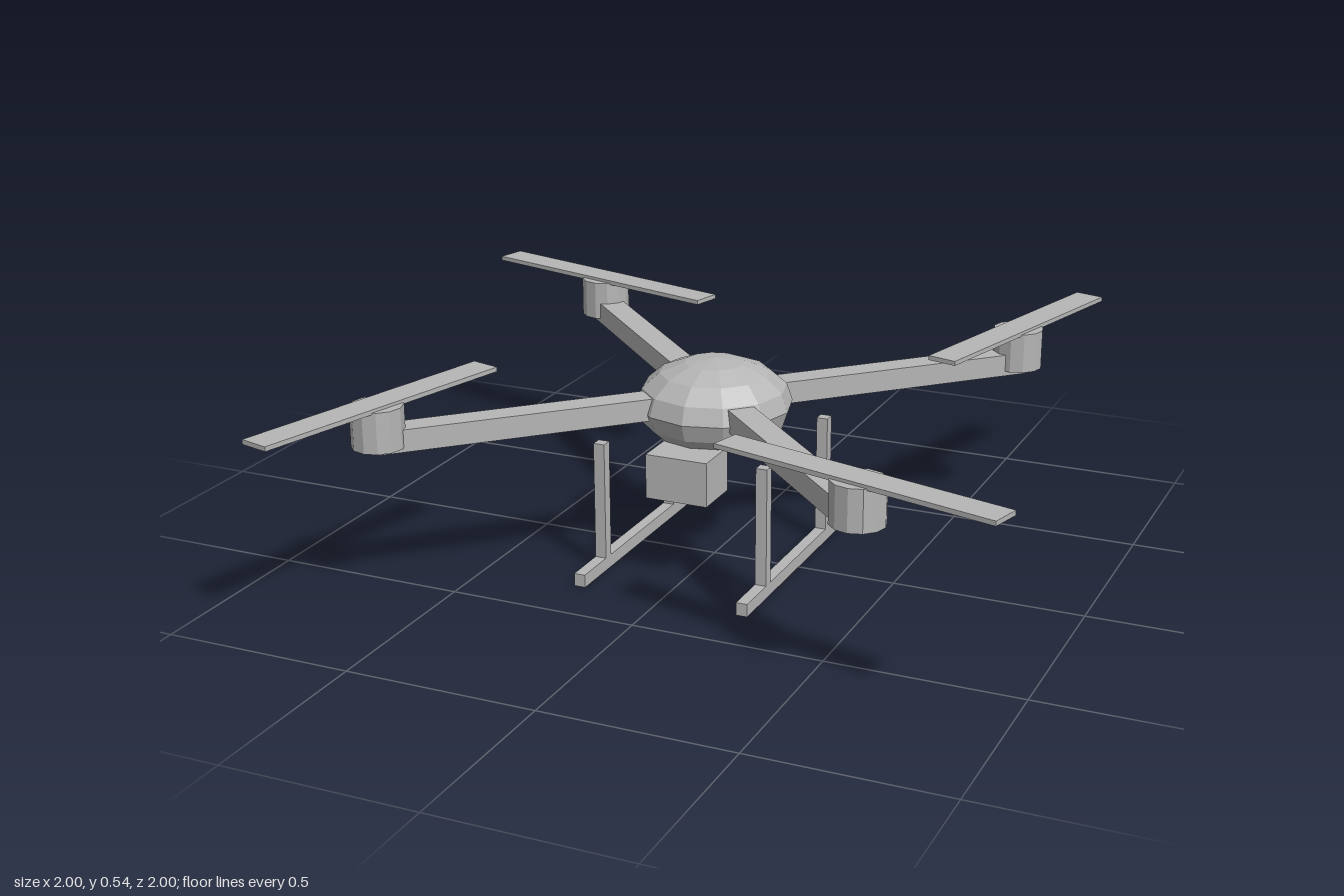
import * as THREE from 'three';

export function createModel() {
  const model = new THREE.Group();
  const grey = new THREE.MeshStandardMaterial({ color: 0xb6b6b6, flatShading: true });
  grey.name = 'grey';

  const add = (name, geometry, x, y, z, parent = model) => {
    const mesh = new THREE.Mesh(geometry, grey);
    mesh.name = name;
    mesh.position.set(x, y, z);
    parent.add(mesh);
    return mesh;
  };

  // Flattened faceted hull
  const hull = new THREE.SphereGeometry(0.203, 12, 8);
  hull.scale(1, 0.12 / 0.203, 1);
  add('body', hull, 0, 0.42, 0);

  // Camera box under the front of the hull
  add('camera', new THREE.BoxGeometry(0.167, 0.117, 0.133), 0, 0.287, 0.174);

  // Four diagonal arms, each with a motor and a propeller blade
  const armLength = 0.886;
  const armGeometry = new THREE.BoxGeometry(armLength, 0.058, 0.07);
  armGeometry.translate(armLength / 2, 0, 0);
  const motorGeometry = new THREE.CylinderGeometry(0.067, 0.067, 0.106, 12);
  const bladeGeometry = new THREE.BoxGeometry(0.758, 0.012, 0.08);
  for (const sx of [-1, 1]) {
    for (const sz of [-1, 1]) {
      const rotor = new THREE.Group();
      rotor.name = (sz > 0 ? 'front' : 'back') + (sx > 0 ? 'Left' : 'Right') + 'Rotor';
      model.add(rotor);
      add('arm', armGeometry, 0, 0.433, 0, rotor).rotation.y = Math.atan2(-sz, sx);
      add('motor', motorGeometry, sx * 0.622, 0.47, sz * 0.622, rotor);
      const blade = add('blade', bladeGeometry, sx * 0.623, 0.525, sz * 0.623, rotor);
      blade.rotation.y = THREE.MathUtils.degToRad(sx === sz ? -15 : 75);
    }
  }

  // Landing gear: a skid and two struts on each side
  const skidGeometry = new THREE.BoxGeometry(0.03, 0.034, 0.686);
  const strutGeometry = new THREE.BoxGeometry(0.03, 0.312, 0.03);
  for (const sx of [-1, 1]) {
    add('skid', skidGeometry, sx * 0.224, 0.017, 0);
    for (const sz of [-1, 1]) add('strut', strutGeometry, sx * 0.224, 0.19, sz * 0.207);
  }

  return model;
}
